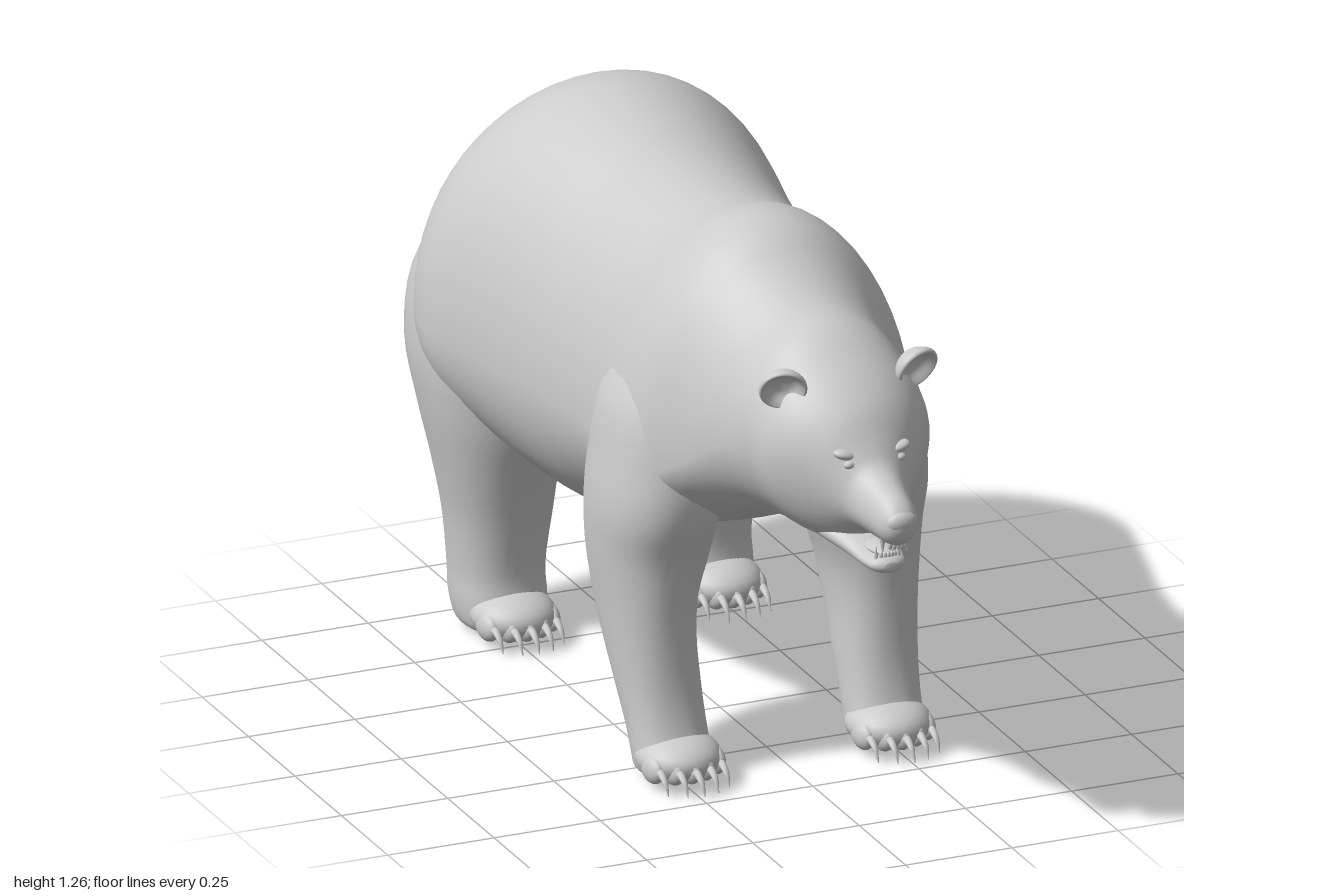
import * as THREE from 'three';

const material = new THREE.MeshStandardMaterial({ color: 0xcccccc, roughness: 0.8 });

function addMesh(parent, name, geometry) {
  const mesh = new THREE.Mesh(geometry, material);
  mesh.name = name;
  parent.add(mesh);
  return mesh;
}

// Smoothly resample a short list of section rows
function refine(rows, steps) {
  const out = [];
  const at = (i) => rows[Math.min(Math.max(i, 0), rows.length - 1)];
  for (let i = 0; i < rows.length - 1; i++) {
    const [a, b, c, d] = [at(i - 1), at(i), at(i + 1), at(i + 2)];
    for (let s = 0; s < steps; s++) {
      const t = s / steps;
      out.push(b.map((v, k) => v + 0.5 * t * (c[k] - a[k] +
        t * (2 * a[k] - 5 * v + 4 * c[k] - d[k] + t * (3 * (v - c[k]) + d[k] - a[k])))));
    }
  }
  out.push(at(rows.length - 1));
  return out;
}

const power = (v, p) => Math.sign(v) * Math.abs(v) ** (2 / p);

// Upright section: [z, top, bottom, height of widest point, half width]
function uprightPoint([z, top, bottom, mid, w], c, s) {
  return [w * c, mid + s * (s > 0 ? top - mid : mid - bottom), z];
}

// Level section: [y, inner x, outer x, back z, front z]
function levelPoint([y, x0, x1, z0, z1], c, s) {
  return [(x0 + x1) / 2 + power(c, 2.25) * (x1 - x0) / 2, y, (z0 + z1) / 2 + power(s, 2.25) * (z1 - z0) / 2];
}

// Closed skin over the sections; level sections run the other way round when rising or falling
function loft(rows, point, { sides = 40, steps = 4, flip = false } = {}) {
  const rings = refine(rows, steps);
  const positions = [];
  const index = [];
  const face = (a, b, c) => index.push(...(flip ? [a, c, b] : [a, b, c]));
  for (const row of rings) {
    for (let j = 0; j < sides; j++) {
      const a = (j / sides) * Math.PI * 2;
      positions.push(...point(row, Math.cos(a), Math.sin(a)));
    }
  }
  for (let i = 0; i < rings.length - 1; i++) {
    for (let j = 0; j < sides; j++) {
      const k = (j + 1) % sides;
      const a = i * sides + j, b = i * sides + k;
      face(a, b, b + sides);
      face(a, b + sides, a + sides);
    }
  }
  // End caps
  for (const first of [0, (rings.length - 1) * sides]) {
    const centre = positions.length / 3;
    const sum = [0, 0, 0];
    for (let j = 0; j < sides; j++) {
      for (let k = 0; k < 3; k++) sum[k] += positions[(first + j) * 3 + k] / sides;
    }
    positions.push(...sum);
    for (let j = 0; j < sides; j++) {
      const a = first + j, b = first + (j + 1) % sides;
      if (first === 0) face(centre, b, a);
      else face(centre, a, b);
    }
  }
  const geometry = new THREE.BufferGeometry();
  geometry.setAttribute('position', new THREE.Float32BufferAttribute(positions, 3));
  geometry.setIndex(index);
  geometry.computeVertexNormals();
  return geometry;
}

function ellipsoid(parent, name, [x, y, z], [rx, ry, rz]) {
  const mesh = addMesh(parent, name, new THREE.SphereGeometry(1, 24, 16));
  mesh.position.set(x, y, z);
  mesh.scale.set(rx, ry, rz);
  return mesh;
}

const BODY = [
  [-0.957, 0.89, 0.79, 0.84, 0.03], [-0.945, 0.95, 0.69, 0.83, 0.1], [-0.905, 1.03, 0.6, 0.8, 0.2],
  [-0.86, 1.09, 0.53, 0.78, 0.295], [-0.8, 1.15, 0.5, 0.76, 0.36], [-0.7, 1.22, 0.45, 0.74, 0.415],
  [-0.6, 1.26, 0.42, 0.72, 0.43], [-0.5, 1.265, 0.39, 0.72, 0.41], [-0.35, 1.245, 0.365, 0.72, 0.375],
  [-0.2, 1.215, 0.38, 0.72, 0.35], [0, 1.21, 0.45, 0.72, 0.325], [0.1, 1.22, 0.49, 0.7, 0.335],
  [0.2, 1.245, 0.52, 0.68, 0.345], [0.3, 1.235, 0.565, 0.7, 0.325], [0.4, 1.18, 0.61, 0.76, 0.27],
  [0.5, 1.135, 0.64, 0.83, 0.225], [0.6, 1.115, 0.655, 0.87, 0.205], [0.68, 1.07, 0.66, 0.87, 0.195],
  [0.74, 1.03, 0.665, 0.87, 0.165], [0.79, 0.985, 0.69, 0.85, 0.125], [0.83, 0.925, 0.72, 0.82, 0.09],
  [0.86, 0.885, 0.73, 0.8, 0.07], [0.91, 0.86, 0.732, 0.79, 0.055], [0.96, 0.84, 0.735, 0.785, 0.045],
  [0.985, 0.82, 0.75, 0.785, 0.032], [0.997, 0.8, 0.775, 0.787, 0.012],
];

const JAW = [
  [0.68, 0.74, 0.67, 0.7, 0.1], [0.76, 0.735, 0.662, 0.7, 0.085], [0.82, 0.712, 0.655, 0.685, 0.062],
  [0.87, 0.695, 0.65, 0.675, 0.05], [0.91, 0.69, 0.652, 0.672, 0.038], [0.925, 0.68, 0.662, 0.67, 0.015],
];

const FRONT_LEG = [
  [1.0, 0.12, 0.25, 0.1, 0.26], [0.85, 0.1, 0.342, 0.04, 0.33], [0.7, 0.1, 0.37, 0.015, 0.37],
  [0.6, 0.11, 0.38, 0.015, 0.372], [0.5, 0.125, 0.375, 0.02, 0.345], [0.4, 0.155, 0.365, 0.045, 0.335],
  [0.3, 0.165, 0.355, 0.09, 0.335], [0.2, 0.165, 0.345, 0.15, 0.345], [0.12, 0.165, 0.338, 0.2, 0.365],
  [0.06, 0.165, 0.335, 0.225, 0.39], [0.03, 0.17, 0.33, 0.235, 0.39], [0.015, 0.19, 0.31, 0.26, 0.37],
];

const HIND_LEG = [
  [1.0, 0.12, 0.33, -0.78, -0.5], [0.8, 0.06, 0.4, -0.89, -0.47], [0.65, 0.03, 0.42, -0.895, -0.45],
  [0.52, 0.04, 0.405, -0.85, -0.46], [0.4, 0.105, 0.38, -0.805, -0.495], [0.27, 0.125, 0.355, -0.78, -0.525],
  [0.15, 0.14, 0.345, -0.765, -0.54], [0.08, 0.14, 0.345, -0.755, -0.53], [0.03, 0.15, 0.335, -0.735, -0.53],
  [0.01, 0.18, 0.31, -0.71, -0.56],
];

const TAIL = [
  [0.96, -0.03, 0.03, -0.94, -0.88], [0.92, -0.042, 0.042, -0.965, -0.9], [0.88, -0.035, 0.035, -0.99, -0.92],
  [0.855, -0.022, 0.022, -1.0, -0.955], [0.847, -0.006, 0.006, -0.995, -0.98],
];

const CLAW = [
  [0, 0.06, 0.04, 0.05, 0.01], [0.02, 0.062, 0.044, 0.053, 0.009],
  [0.045, 0.046, 0.034, 0.04, 0.006], [0.06, 0.016, 0.014, 0.015, 0.001],
];

// Paw with five toes and curved claws
function addPaw(parent, name, x, z) {
  const paw = new THREE.Group();
  paw.name = name;
  paw.position.set(x, 0, z);
  parent.add(paw);
  ellipsoid(paw, 'pawPad', [0, 0.06, -0.06], [0.094, 0.054, 0.1]);
  const clawGeometry = loft(CLAW, uprightPoint, { sides: 10, steps: 3 });
  for (let i = -2; i <= 2; i++) {
    const toeZ = -0.008 * i * i;
    ellipsoid(paw, 'toe', [i * 0.036, 0.05, toeZ], [0.021, 0.033, 0.045]);
    addMesh(paw, 'claw', clawGeometry).position.set(i * 0.036, 0, toeZ + 0.025);
  }
}

export function createModel() {
  const bear = new THREE.Group();
  bear.name = 'bear';

  addMesh(bear, 'bodyAndHead', loft(BODY, uprightPoint, { sides: 56 }));
  addMesh(bear, 'lowerJaw', loft(JAW, uprightPoint));
  addMesh(bear, 'tail', loft(TAIL, levelPoint, { sides: 24 }));
  ellipsoid(bear, 'nose', [0, 0.795, 0.978], [0.035, 0.026, 0.021]);
  ellipsoid(bear, 'tongue', [0, 0.695, 0.85], [0.03, 0.012, 0.06]);

  // Front teeth
  for (let i = -2; i <= 2; i++) {
    ellipsoid(bear, 'upperTooth', [i * 0.009, 0.736, 0.962 - 0.001 * i * i], [0.005, 0.01, 0.004]);
    ellipsoid(bear, 'lowerTooth', [i * 0.008, 0.69, 0.908 - 0.001 * i * i], [0.005, 0.01, 0.004]);
  }

  // Cupped ear turned forward
  const earProfile = [[0, -0.032], [0.03, -0.027], [0.048, -0.008], [0.053, 0.006], [0.049, 0.013],
    [0.042, 0.008], [0.025, -0.008], [0, -0.014]].map(([r, y]) => new THREE.Vector2(r, y));
  const earGeometry = new THREE.LatheGeometry(new THREE.SplineCurve(earProfile).getPoints(28)
    .map((p) => new THREE.Vector2(Math.max(p.x, 0), p.y)), 32);

  for (const side of [1, -1]) {
    const label = side > 0 ? 'left' : 'right';
    const mirror = (rows) => rows.map(([y, x0, x1, z0, z1]) =>
      side > 0 ? [y, x0, x1, z0, z1] : [y, -x1, -x0, z0, z1]);

    addMesh(bear, label + 'FrontLeg', loft(mirror(FRONT_LEG), levelPoint));
    addMesh(bear, label + 'HindLeg', loft(mirror(HIND_LEG), levelPoint));
    addPaw(bear, label + 'FrontPaw', side * 0.247, 0.4);
    addPaw(bear, label + 'HindPaw', side * 0.243, -0.5);

    const ear = addMesh(bear, label + 'Ear', earGeometry);
    ear.position.set(side * 0.156, 1.028, 0.695);
    ear.rotation.set(Math.PI / 2 + 0.4, side * 0.3, 0, 'YXZ');

    ellipsoid(bear, label + 'Eye', [side * 0.06, 0.884, 0.834], [0.013, 0.009, 0.01]);
    ellipsoid(bear, label + 'Brow', [side * 0.062, 0.902, 0.816], [0.028, 0.012, 0.02]).rotation.z = side * 0.25;

    // Canine teeth
    const upper = addMesh(bear, label + 'UpperCanine', new THREE.ConeGeometry(0.007, 0.04, 10));
    upper.position.set(side * 0.028, 0.728, 0.94);
    upper.rotation.x = Math.PI;
    addMesh(bear, label + 'LowerCanine', new THREE.ConeGeometry(0.006, 0.036, 10))
      .position.set(side * 0.026, 0.698, 0.9);
  }
  return bear;
}
